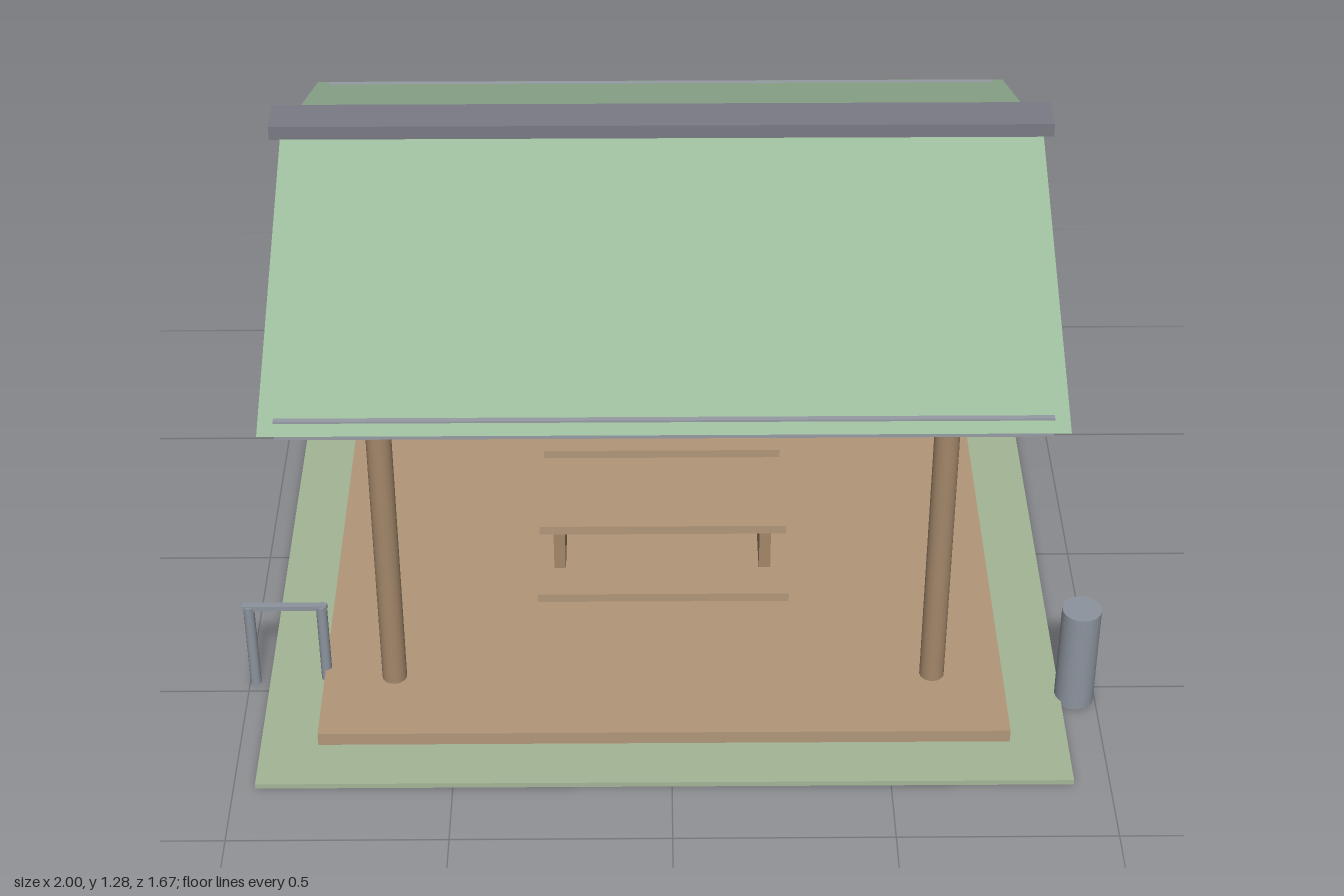
import * as THREE from 'three';

const material = (color) => new THREE.MeshStandardMaterial({ color });
const grass = material(0xa3b596);
const wood = material(0xb2977a);
const darkWood = material(0xa3876a);
const roofGreen = material(0x98b898);
const trimGrey = material(0x969ba4);
const ridgeGrey = material(0x7a7b84);
const metal = material(0x8d949e);

export function createModel() {
  const model = new THREE.Group();

  const add = (parent, name, geometry, mat) => {
    const mesh = new THREE.Mesh(geometry, mat);
    mesh.name = name;
    parent.add(mesh);
    return mesh;
  };

  // Box given by its extents on each axis
  const box = (parent, name, mat, [x0, x1], [y0, y1], [z0, z1]) => {
    const mesh = add(parent, name, new THREE.BoxGeometry(x1 - x0, y1 - y0, z1 - z0), mat);
    mesh.position.set((x0 + x1) / 2, (y0 + y1) / 2, (z0 + z1) / 2);
    return mesh;
  };

  // Upright cylinder standing between two heights
  const column = (parent, name, mat, x, z, radius, y0, y1, sides) => {
    const mesh = add(parent, name, new THREE.CylinderGeometry(radius, radius, y1 - y0, sides), mat);
    mesh.position.set(x, (y0 + y1) / 2, z);
    return mesh;
  };

  const group = (name) => {
    const g = new THREE.Group();
    g.name = name;
    model.add(g);
    return g;
  };

  // Lawn and deck
  box(model, 'lawn', grass, [-0.95, 0.917], [0, 0.013], [-0.833, 0.833]);
  box(model, 'deck', wood, [-0.817, 0.783], [0.001, 0.046], [-0.702, 0.702]);

  // Corner posts
  const posts = group('posts');
  for (const x of [-0.652, 0.616]) {
    for (const z of [-0.5, 0.5]) column(posts, 'post', darkWood, x, z, 0.029, 0.046, 0.886, 16);
  }

  // Gabled roof: a triangle in the z-y plane run along x
  const roof = group('roof');
  const gable = new THREE.Shape([
    new THREE.Vector2(-0.75, 0.938),
    new THREE.Vector2(0.75, 0.938),
    new THREE.Vector2(0, 1.238),
  ]);
  const gableGeometry = new THREE.ExtrudeGeometry(gable, { depth: 1.733, bevelEnabled: false });
  gableGeometry.rotateY(Math.PI / 2).translate(-0.883, 0, 0);
  add(roof, 'gableRoof', gableGeometry, roofGreen);
  box(roof, 'eavesSlab', trimGrey, [-0.85, 0.817], [0.907, 0.955], [-0.72, 0.72]);
  box(roof, 'ridgeCap', ridgeGrey, [-0.903, 0.868], [1.25, 1.283], [-0.049, 0.049]);

  // Picnic table with a seat on each side
  const table = group('picnicTable');
  box(table, 'tableTop', wood, [-0.317, 0.283], [0.176, 0.2], [-0.133, 0.133]);
  for (const x of [-0.27, 0.234]) {
    box(table, 'tableLeg', darkWood, [x - 0.014, x + 0.014], [0.046, 0.176], [-0.116, 0.116]);
  }
  for (const side of [-1, 1]) {
    const z = side * 0.284;
    box(table, 'seat', wood, [-0.317, 0.283], [0.131, 0.154], [z - 0.05, z + 0.05]);
  }

  // Long bench along the back
  box(model, 'backBench', wood, [-0.75, 0.717], [0.158, 0.18], [-0.693, -0.61]);

  // Litter bin
  column(model, 'litterBin', metal, 0.951, 0.534, 0.046, 0, 0.27, 24);

  // Bicycle stand: two uprights and a crossbar
  const stand = group('bicycleStand');
  for (const x of [-0.986, -0.816]) column(stand, 'upright', metal, x, 0.467, 0.013, 0.002, 0.235, 12);
  box(stand, 'crossbar', metal, [-1, -0.803], [0.225, 0.238], [0.459, 0.475]);

  return model;
}
